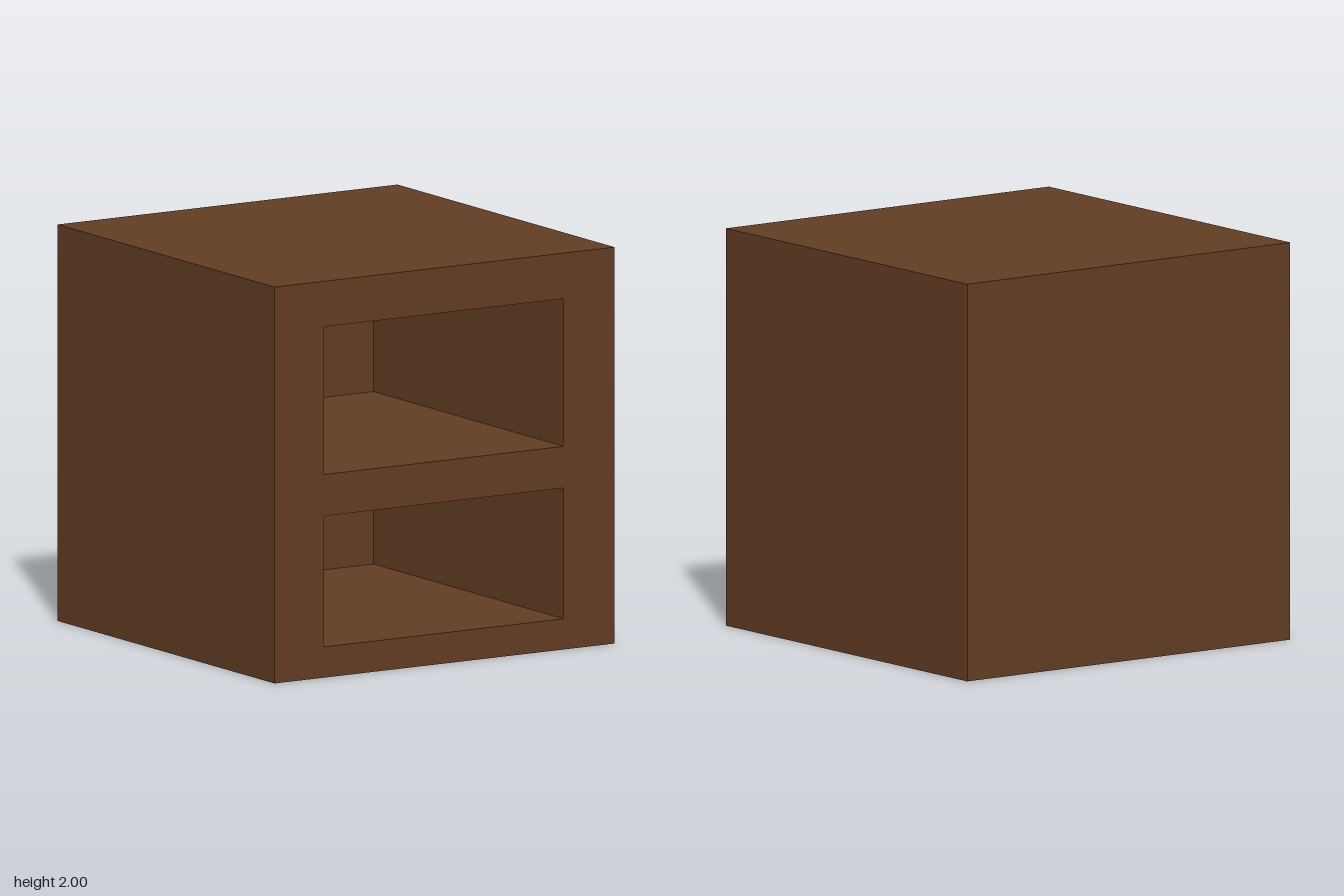
import * as THREE from 'three';

const SIZE = 2;
const BACK = -0.75; // inner back wall of both compartments
const openings = [
  { name: 'upperCompartment', x0: -0.71, x1: 0.7, y0: 1.025, y1: 1.77 },
  { name: 'lowerCompartment', x0: -0.71, x1: 0.7, y0: 0.155, y1: 0.815 },
];

// Box without its front (+z) face; inward turns the faces to the inside
function openBox(w, h, d, inward) {
  const box = new THREE.BoxGeometry(w, h, d);
  let index = Array.from(box.index.array).filter((_, i) => i < 24 || i >= 30);
  if (inward) index = index.reverse();
  box.setIndex(index);
  box.clearGroups();
  const geometry = box.toNonIndexed();
  geometry.computeVertexNormals();
  return geometry;
}

export function createModel() {
  const group = new THREE.Group();
  group.name = 'cabinet';
  const wood = new THREE.MeshStandardMaterial({ color: 0x633d23 });
  wood.name = 'brown wood';

  const add = (name, geometry, x, y, z) => {
    const mesh = new THREE.Mesh(geometry, wood);
    mesh.name = name;
    mesh.position.set(x, y, z);
    group.add(mesh);
  };

  // Outer sides, top, bottom and back
  add('carcass', openBox(SIZE, SIZE, SIZE, false), 0, 1, 0);

  // Front face with two rectangular openings
  const front = new THREE.Shape([
    new THREE.Vector2(-1, 0), new THREE.Vector2(1, 0),
    new THREE.Vector2(1, SIZE), new THREE.Vector2(-1, SIZE),
  ]);
  for (const { x0, x1, y0, y1 } of openings) {
    front.holes.push(new THREE.Path([
      new THREE.Vector2(x0, y0), new THREE.Vector2(x0, y1),
      new THREE.Vector2(x1, y1), new THREE.Vector2(x1, y0),
    ]));
  }
  add('frontFrame', new THREE.ShapeGeometry(front), 0, 0, 1);

  // Inside walls of each compartment
  for (const { name, x0, x1, y0, y1 } of openings) {
    add(name, openBox(x1 - x0, y1 - y0, 1 - BACK, true),
      (x0 + x1) / 2, (y0 + y1) / 2, (1 + BACK) / 2);
  }
  return group;
}
